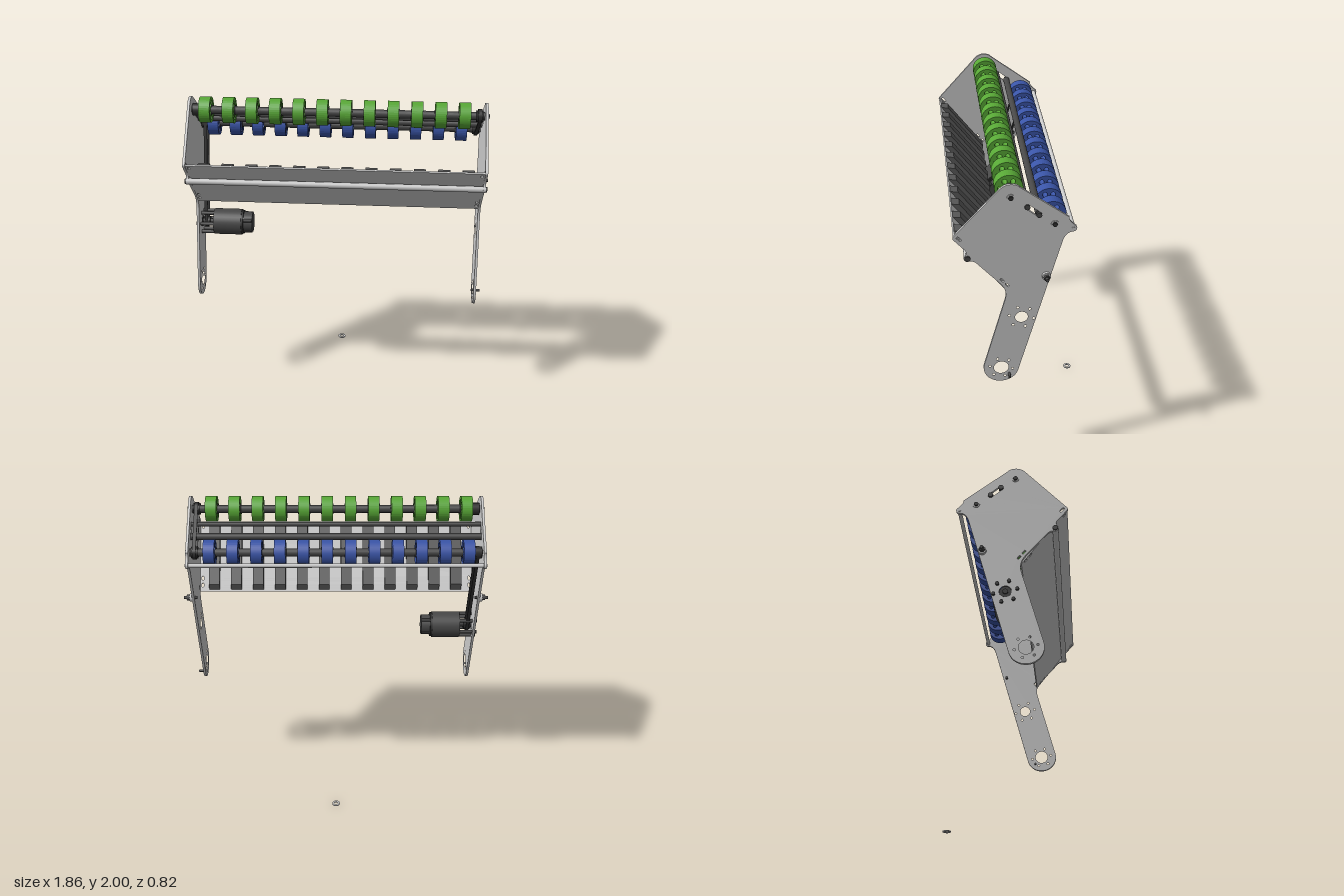
import * as THREE from 'three';

const mat = (color) => new THREE.MeshStandardMaterial({ color });
const GREY = mat(0xcccccc), DARK = mat(0x484848), BLACK = mat(0x303030);
const GREEN = mat(0x58a836), BLUE = mat(0x3a55a8), SLAT = mat(0x5a5a5a);

// Positions in the side plane, as [z, y]
const TOP_SHAFT = [0.1, 1.923], BACK_SHAFT = [-0.135, 1.75], MOTOR = [0.04, 1.145];
const FOOT = [0.156, 0.786], FRONT_ROD = [0.333, 1.56], BACK_ROD = [-0.235, 1.715];
const BARS = [[0.013, 1.863], [-0.05, 1.812]], SIDE_BOLT = [-0.095, 1.42];

export function createModel() {
  const model = new THREE.Group();

  function add(name, geometry, material, parent = model) {
    const mesh = new THREE.Mesh(geometry, material);
    mesh.name = name;
    parent.add(mesh);
    return mesh;
  }

  // Cylinder lying along x, from x0 to x1
  function rod(name, [z, y], r, x0, x1, material, parent = model, sides = 24) {
    const geo = new THREE.CylinderGeometry(r, r, x1 - x0, sides).rotateZ(Math.PI / 2);
    const mesh = add(name, geo, material, parent);
    mesh.position.set((x0 + x1) / 2, y, z);
    return mesh;
  }

  // Extrude a (z, y) shape along x, centred on x = 0
  function slab(shape, width) {
    return new THREE.ExtrudeGeometry(shape, { depth: width, bevelEnabled: false, curveSegments: 20 })
      .translate(0, 0, -width / 2).rotateY(-Math.PI / 2);
  }

  const circle = ([z, y], r) => new THREE.Path().absarc(z, y, r, 0, Math.PI * 2, true);

  // Ring of points round a centre
  const ring = ([z, y], r, n, start = 0) => Array.from({ length: n }, (_, i) => {
    const a = start + (i * Math.PI * 2) / n;
    return [z + r * Math.cos(a), y + r * Math.sin(a)];
  });

  // Slot between two points
  function slot(a, b, r, PathType = THREE.Path) {
    const t = Math.atan2(b[1] - a[1], b[0] - a[0]);
    const p = new PathType();
    p.absarc(a[0], a[1], r, t + Math.PI / 2, t + Math.PI * 1.5, false);
    p.absarc(b[0], b[1], r, t - Math.PI / 2, t + Math.PI / 2, false);
    p.closePath();
    return p;
  }

  // Side plates
  function sidePlateShape() {
    const s = new THREE.Shape();
    s.moveTo(0.406, 1.7);
    s.quadraticCurveTo(0.412, 1.69, 0.404, 1.68);
    s.lineTo(0.345, 1.612);
    s.quadraticCurveTo(0.332, 1.595, 0.345, 1.577);
    s.absarc(FRONT_ROD[0], FRONT_ROD[1], 0.02, 0.9, -1.9, true);
    s.quadraticCurveTo(0.305, 1.545, 0.285, 1.525);
    s.lineTo(0.16, 1.384);
    s.quadraticCurveTo(0.115, 1.335, 0.132, 1.27);
    s.absarc(FOOT[0], FOOT[1], 0.102, 0.26, -Math.PI + 0.26, true);
    s.lineTo(-0.18, 1.64);
    s.quadraticCurveTo(-0.195, 1.69, -0.228, 1.694);
    s.absarc(BACK_ROD[0], BACK_ROD[1], 0.02, -1.2, -3.9, true);
    s.quadraticCurveTo(-0.21, 1.76, -0.212, 1.785);
    s.lineTo(0.057, 1.985);
    s.absarc(TOP_SHAFT[0], TOP_SHAFT[1], 0.077, 2.2, 0.75, true);
    s.closePath();
    s.holes.push(circle(FOOT, 0.043), circle(MOTOR, 0.036), slot(BARS[0], BARS[1], 0.014));
    for (const c of ring(FOOT, 0.067, 6, 0.2)) s.holes.push(circle(c, 0.007));
    for (const c of ring(MOTOR, 0.07, 6, 0.2)) s.holes.push(circle(c, 0.007));
    s.holes.push(slot([0.382, 1.693], [0.368, 1.678], 0.007));
    s.holes.push(slot([0.153, 1.41], [0.143, 1.398], 0.006), slot([0.124, 1.376], [0.114, 1.364], 0.006));
    return s;
  }
  const plateGeo = slab(sidePlateShape(), 0.015);
  for (const side of [-1, 1]) {
    const group = new THREE.Group();
    group.name = side > 0 ? 'leftSide' : 'rightSide';
    model.add(group);
    add('sidePlate', plateGeo, GREY, group).position.x = side * 0.872;

    // Fastener heads and bearings, from inner to outer distance
    const out = (name, at, r, d0, d1, m, n) =>
      rod(name, at, r, Math.min(side * d0, side * d1), Math.max(side * d0, side * d1), m, group, n);
    for (const at of [TOP_SHAFT, BACK_SHAFT]) {
      out('bearing', at, 0.021, 0.86, 0.884, GREY);
      out('shaftBolt', at, 0.014, 0.88, 0.892, BLACK, 6);
    }
    for (const at of BARS) out('barBolt', at, 0.015, 0.875, 0.89, DARK);
    out('rodBolt', FRONT_ROD, 0.016, 0.875, 0.888, DARK);
    out('rodBolt', BACK_ROD, 0.009, 0.875, 0.884, GREY);
    out('pivotBolt', SIDE_BOLT, 0.01, 0.85, 0.932, DARK, 12);
    out('pivotSpacer', SIDE_BOLT, 0.024, 0.88, 0.896, GREY);
    out('pivotNut', SIDE_BOLT, 0.017, 0.896, 0.914, DARK, 6);
  }
  rod('footPin', [0.11, 0.737], 0.008, 0.86, 0.915, DARK);

  // Cross rods and bars
  rod('frontRod', FRONT_ROD, 0.018, -0.868, 0.868, GREY);
  rod('backRod', BACK_ROD, 0.012, -0.868, 0.868, GREY);
  rod('upperBar', BARS[0], 0.014, -0.868, 0.868, DARK);
  rod('lowerBar', BARS[1], 0.02, -0.868, 0.868, DARK);

  // Rollers: spoked wheels on a shaft
  const wheelShape = new THREE.Shape().absarc(0, 0, 0.077, 0, Math.PI * 2, false);
  wheelShape.holes.push(circle([0, 0], 0.024));
  for (const c of ring([0, 0], 0.045, 6)) wheelShape.holes.push(circle(c, 0.014));
  const wheelGeo = slab(wheelShape, 0.067);
  for (const [name, at, material] of [['topRoller', TOP_SHAFT, GREEN], ['backRoller', BACK_SHAFT, BLUE]]) {
    const roller = new THREE.Group();
    roller.name = name;
    roller.position.set(0, at[1], at[0]);
    model.add(roller);
    rod('shaft', [0, 0], 0.024, -0.865, 0.865, DARK, roller);
    rod('endCollar', [0, 0], 0.036, -0.86, -0.82, BLACK, roller);
    rod('pulley', [0, 0], 0.034, 0.815, 0.855, BLACK, roller);
    for (let i = 0; i < 12; i++) {
      const x = -0.782 + i * 0.139;
      add('wheel', wheelGeo, material, roller).position.x = x;
      rod('wheelHub', [0, 0], 0.031, x - 0.037, x + 0.037, DARK, roller);
    }
  }

  // Drive belts
  function belt(name, a, b, r, x, width) {
    const s = slot(a, b, r, THREE.Shape);
    s.holes.push(slot(a, b, r - 0.009));
    add(name, slab(s, width), BLACK).position.x = x;
  }
  belt('rollerBelt', TOP_SHAFT, BACK_SHAFT, 0.042, 0.836, 0.022);
  belt('motorBelt', MOTOR, BACK_SHAFT, 0.038, -0.836, 0.02);

  // Motor with stand-offs
  const motor = new THREE.Group();
  motor.name = 'motor';
  model.add(motor);
  rod('motorBody', MOTOR, 0.082, -0.785, -0.61, DARK, motor, 32);
  rod('motorBand', MOTOR, 0.076, -0.61, -0.598, BLACK, motor, 32);
  rod('motorCap', MOTOR, 0.062, -0.598, -0.542, DARK, motor, 32);
  rod('motorShaft', MOTOR, 0.016, -0.885, -0.785, BLACK, motor);
  rod('motorPulley', MOTOR, 0.03, -0.855, -0.815, BLACK, motor);
  rod('motorBearing', MOTOR, 0.035, -0.878, -0.864, BLACK, motor);
  for (const c of ring(MOTOR, 0.07, 6, 0.2)) {
    rod('standOff', c, 0.011, -0.865, -0.785, DARK, motor, 12);
    rod('standOffBolt', c, 0.011, -0.892, -0.878, BLACK, motor, 12);
  }
  for (const c of ring(MOTOR, 0.056, 4, 0.6)) rod('capRib', c, 0.012, -0.598, -0.545, BLACK, motor, 12);

  // Sloping chute: a plate with raised slats on its upper side
  const chute = new THREE.Group();
  chute.name = 'chute';
  chute.position.set(0, 1.515, 0.265);
  chute.rotation.x = 0.652;
  model.add(chute);
  const w = 0.865, h = 0.226;
  const sheet = new THREE.Shape([[-w, -h], [w, -h], [w, h], [-w, h]].map((p) => new THREE.Vector2(...p)));
  for (const x of [-0.848, 0.848])
    for (const y of [-0.185, -0.14, 0.195]) sheet.holes.push(slot([x, y - 0.006], [x, y + 0.006], 0.007));
  add('chutePlate', new THREE.ExtrudeGeometry(sheet, { depth: 0.01, bevelEnabled: false })
    .translate(0, 0, -0.005), GREY, chute);
  const slatProfile = new THREE.Shape([[-0.004, -0.215], [-0.004, 0.222], [-0.036, 0.19], [-0.036, -0.185]]
    .map((p) => new THREE.Vector2(...p)));
  const slatGeo = slab(slatProfile, 0.068);
  for (let i = 0; i < 12; i++) add('slat', slatGeo, SLAT, chute).position.x = -0.762 + i * 0.1395;

  // Loose washer on the ground
  const washer = new THREE.Shape().absarc(0, 0, 0.025, 0, Math.PI * 2, false);
  washer.holes.push(circle([0, 0], 0.013));
  add('washer', new THREE.ExtrudeGeometry(washer, { depth: 0.006, bevelEnabled: false, curveSegments: 20 })
    .rotateX(-Math.PI / 2), GREY).position.z = -0.387;

  return model;
}
